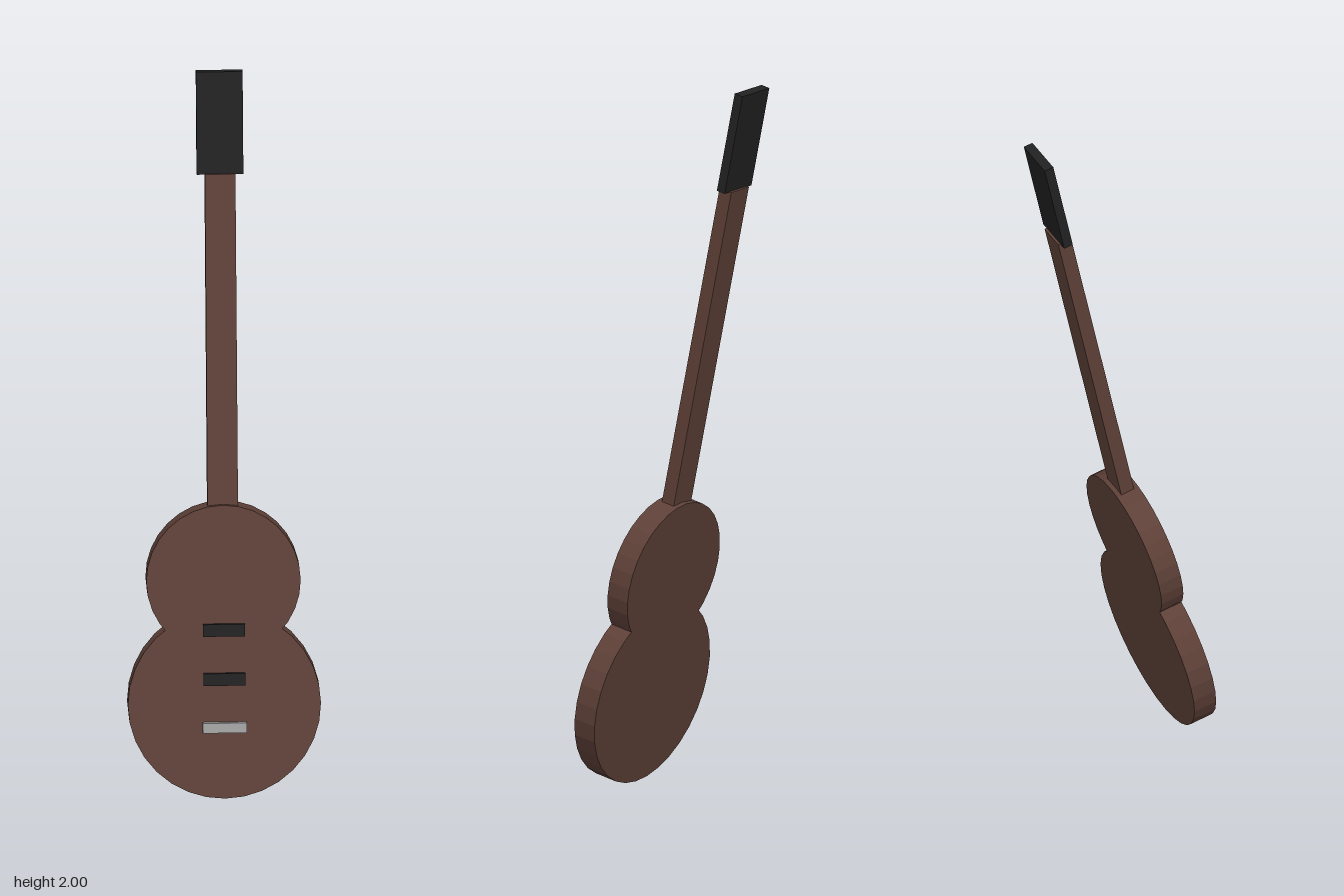
import * as THREE from 'three';

const wood = new THREE.MeshStandardMaterial({ color: 0x5d4037, flatShading: true });
const black = new THREE.MeshStandardMaterial({ color: 0x212121, flatShading: true });
const metal = new THREE.MeshStandardMaterial({ color: 0x9e9e9e, flatShading: true });

export function createModel() {
  const guitar = new THREE.Group();
  guitar.name = 'guitar';

  function add(name, geometry, material, y, z = 0) {
    const mesh = new THREE.Mesh(geometry, material);
    mesh.name = name;
    mesh.position.set(0, y, z);
    guitar.add(mesh);
  }

  // Round body slab with its flat faces to the front and back
  const disc = (radius, depth) =>
    new THREE.CylinderGeometry(radius, radius, depth, 32).rotateX(Math.PI / 2);

  // Body: two overlapping bouts
  add('lowerBout', disc(0.265, 0.068), wood, 0);
  add('upperBout', disc(0.212, 0.068), wood, 0.346);

  // Neck, sunk into the upper bout, and headstock
  add('neck', new THREE.BoxGeometry(0.084, 1.06, 0.04), wood, 0.954);
  add('headstock', new THREE.BoxGeometry(0.128, 0.288, 0.0266), black, 1.626);

  // Pickups and bridge on the front face
  add('neckPickup', new THREE.BoxGeometry(0.115, 0.034, 0.024), black, 0.209, 0.034);
  add('middlePickup', new THREE.BoxGeometry(0.115, 0.034, 0.024), black, 0.071, 0.034);
  add('bridge', new THREE.BoxGeometry(0.121, 0.028, 0.032), metal, -0.064, 0.034);

  // The whole instrument leans back
  guitar.rotation.x = -THREE.MathUtils.degToRad(12);
  guitar.position.set(0, 0.266, 0.145);

  const model = new THREE.Group();
  model.name = 'leaningGuitar';
  model.add(guitar);
  return model;
}
